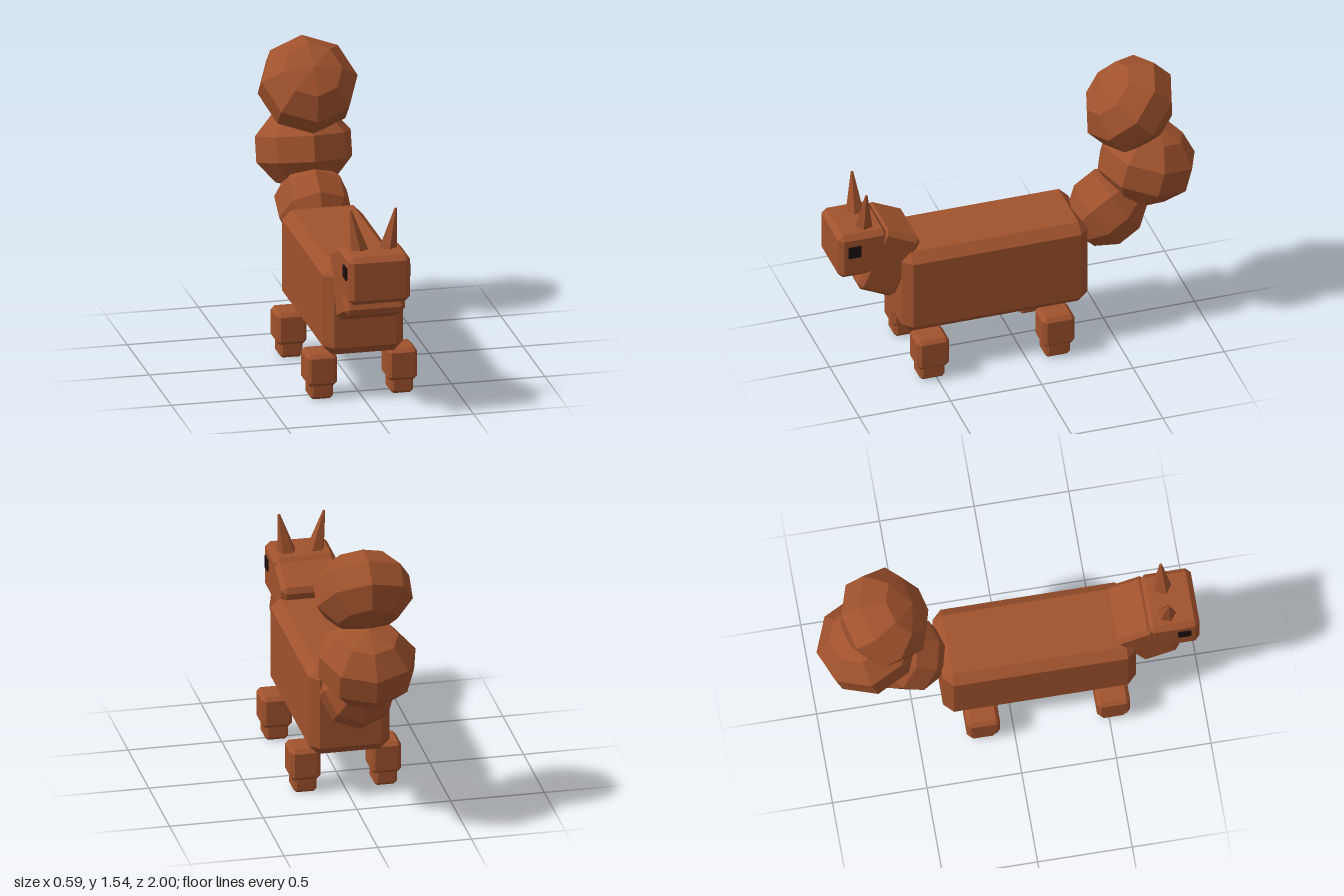
import * as THREE from 'three';
import { ConvexGeometry } from 'three/addons/geometries/ConvexGeometry.js';

export function createModel() {
  const model = new THREE.Group();
  const fur = new THREE.MeshStandardMaterial({ color: 0xa0522d, flatShading: true });
  fur.name = 'reddish brown fur';
  const black = new THREE.MeshStandardMaterial({ color: 0x1a0d10, flatShading: true });
  black.name = 'eye black';

  const add = (name, geometry, material, x, y, z, parent = model) => {
    const mesh = new THREE.Mesh(geometry, material);
    mesh.name = name;
    mesh.position.set(x, y, z);
    parent.add(mesh);
    return mesh;
  };

  // Box with every edge and corner cut by c
  const chamferBox = (w, h, d, c) => {
    const points = [];
    for (const sx of [-1, 1]) for (const sy of [-1, 1]) for (const sz of [-1, 1]) {
      const [x, y, z] = [w / 2, h / 2, d / 2];
      points.push(
        new THREE.Vector3(sx * x, sy * (y - c), sz * (z - c)),
        new THREE.Vector3(sx * (x - c), sy * y, sz * (z - c)),
        new THREE.Vector3(sx * (x - c), sy * (y - c), sz * z),
      );
    }
    return new ConvexGeometry(points);
  };

  // Body, neck and head
  add('body', chamferBox(0.43, 0.49, 1.02, 0.05), fur, 0, 0.495, 0.15);
  const neck = add('neck', chamferBox(0.33, 0.37, 0.225, 0.025), fur, 0, 0.682, 0.722);
  neck.rotation.x = THREE.MathUtils.degToRad(-25);
  add('head', chamferBox(0.33, 0.26, 0.27, 0.027), fur, 0, 0.772, 0.865);

  for (const side of [-1, 1]) {
    const label = side > 0 ? 'left' : 'right';

    // Ears lean outward
    const ear = add(label + 'Ear', new THREE.CylinderGeometry(0.007, 0.055, 0.25, 5), fur,
      side * 0.096, 0.99, 0.838);
    ear.rotation.z = -side * 0.2;

    // Eyes are thin plates on the sides of the head
    add(label + 'Eye', new THREE.BoxGeometry(0.009, 0.066, 0.068), black,
      side * 0.1688, 0.804, 0.917);

    // Legs, each a block with a smaller foot
    for (const [end, z] of [['Front', 0.523], ['Back', -0.165]]) {
      const leg = new THREE.Group();
      leg.name = label + end + 'Leg';
      leg.position.set(side * 0.215, 0, z);
      model.add(leg);
      add('upperLeg', chamferBox(0.16, 0.175, 0.175, 0.02), fur, 0, 0.162, 0, leg);
      add('foot', chamferBox(0.122, 0.12, 0.138, 0.016), fur, 0, 0.06, 0, leg);
    }
  }

  // Tail of three faceted balls curling up: radius, axis radius, y, z, tilt
  const balls = [
    ['tailBase', 0.205, 0.22, 0.69, -0.52, -55],
    ['tailMiddle', 0.27, 0.222, 0.937, -0.735, -15],
    ['tailTip', 0.27, 0.21, 1.308, -0.642, 45],
  ];
  for (const [name, radius, axis, y, z, tilt] of balls) {
    const ball = add(name, new THREE.SphereGeometry(radius, 8, 5), fur, 0, y, z);
    ball.scale.y = axis / radius;
    ball.rotation.x = THREE.MathUtils.degToRad(tilt);
  }

  return model;
}
